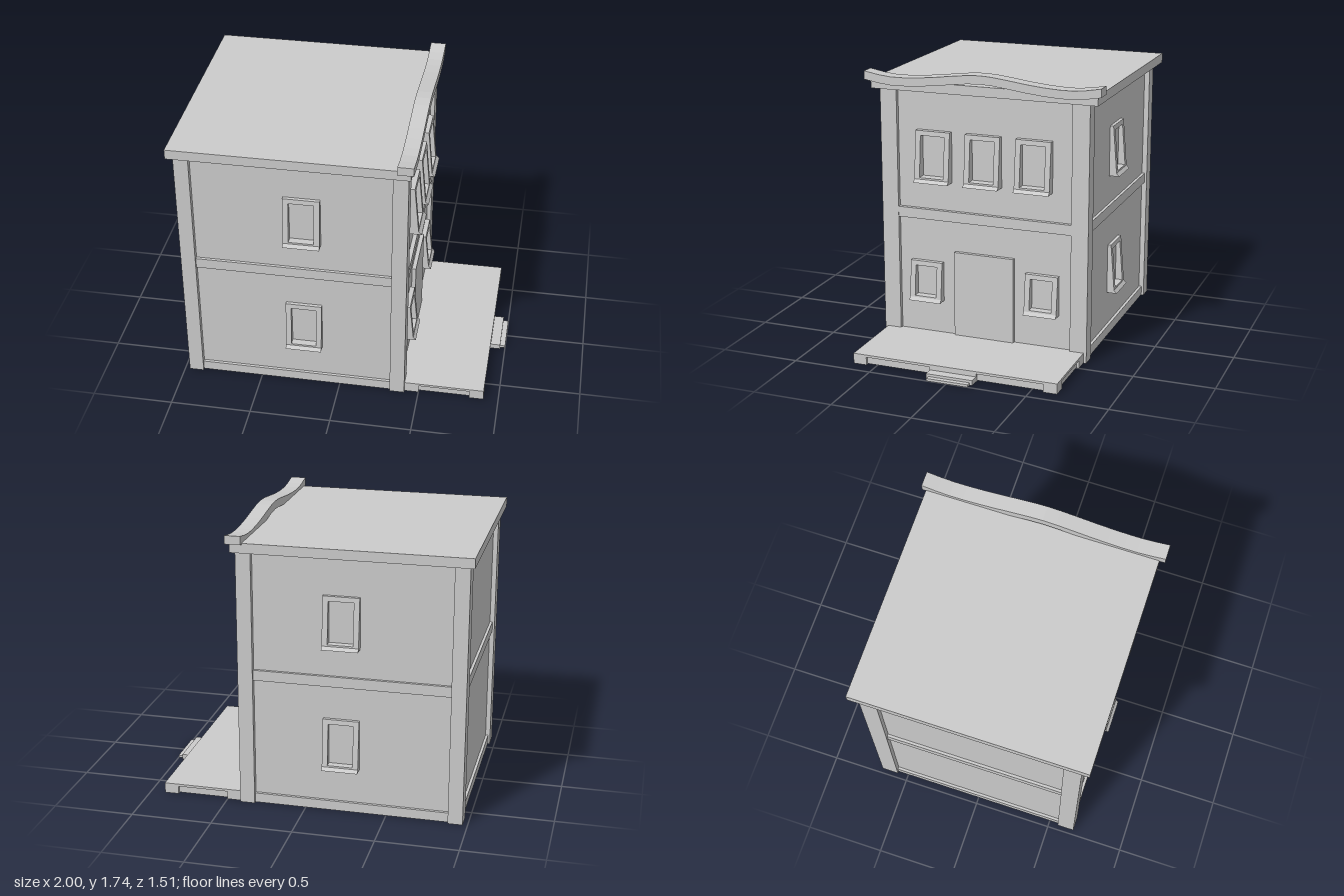
import * as THREE from 'three';

const material = new THREE.MeshStandardMaterial({ color: 0xcccccc, flatShading: true });

function add(parent, name, geometry) {
  const mesh = new THREE.Mesh(geometry, material);
  mesh.name = name;
  parent.add(mesh);
  return mesh;
}

// Box given by its lower and upper limits
function box(parent, name, x0, x1, y0, y1, z0, z1) {
  const mesh = add(parent, name, new THREE.BoxGeometry(x1 - x0, y1 - y0, z1 - z0));
  mesh.position.set((x0 + x1) / 2, (y0 + y1) / 2, (z0 + z1) / 2);
  return mesh;
}

// Window surround leaning out toward a flared sill; local +z points out of the wall
function makeWindow(w, h, depth) {
  const group = new THREE.Group();
  group.name = 'window';
  const top = depth * 0.42, low = depth * 0.76, sillH = 0.02, rim = 0.034;
  const shape = new THREE.Shape([
    new THREE.Vector2(-w / 2, sillH), new THREE.Vector2(w / 2, sillH),
    new THREE.Vector2(w / 2, h), new THREE.Vector2(-w / 2, h),
  ]);
  shape.holes.push(new THREE.Path([
    new THREE.Vector2(-w / 2 + rim, 0.03), new THREE.Vector2(-w / 2 + rim, h - 0.03),
    new THREE.Vector2(w / 2 - rim, h - 0.03), new THREE.Vector2(w / 2 - rim, 0.03),
  ]));
  const frame = new THREE.ExtrudeGeometry(shape, { depth: 1, bevelEnabled: false });
  const pos = frame.attributes.position;
  for (let i = 0; i < pos.count; i++) {
    const t = (pos.getY(i) - sillH) / (h - sillH);
    pos.setZ(i, pos.getZ(i) > 0.5 ? THREE.MathUtils.lerp(low, top, t) : -0.02);
  }
  frame.computeVertexNormals();
  add(group, 'windowFrame', frame);

  // Sill profile drawn as (out, up) and extruded across the width
  const profile = new THREE.Shape([
    new THREE.Vector2(-0.02, 0), new THREE.Vector2(depth, 0),
    new THREE.Vector2(low, sillH), new THREE.Vector2(-0.02, sillH),
  ]);
  const sill = new THREE.ExtrudeGeometry(profile, { depth: w, bevelEnabled: false });
  sill.rotateY(-Math.PI / 2);
  sill.translate(w / 2, 0, 0);
  add(group, 'windowSill', sill);
  return group;
}

export function createModel() {
  const model = new THREE.Group();
  model.name = 'townhouse';
  const house = new THREE.Group();
  house.name = 'house';
  house.position.z = -0.005;
  model.add(house);

  // Recessed walls, corner posts and roof slab
  box(house, 'walls', -0.94, 0.385, 0.003, 1.62, -0.64, 0.64);
  for (const s of [-1, 1]) {
    for (const [x0, x1] of [[-0.97, -0.88], [0.32, 0.412]]) {
      box(house, 'cornerPost', x0, x1, 0, 1.612, Math.min(s * 0.565, s * 0.673), Math.max(s * 0.565, s * 0.673));
    }
  }
  box(house, 'roof', -1, 0.43, 1.612, 1.672, -0.725, 0.725);

  // Floor band and plinth: flush with the posts on the entrance face, shallower elsewhere
  for (const [name, y0, y1] of [['floorBand', 0.805, 0.87], ['plinth', 0.002, 0.062]]) {
    box(house, name, -0.957, 0.36, y0, y1, -0.658, 0.658);
    box(house, name + 'Front', 0.35, 0.411, y0, y1, -0.57, 0.57);
  }

  // Entrance door
  box(house, 'door', 0.37, 0.41, 0.06, 0.61, -0.195, 0.195);

  // Windows on the entrance face
  const frontWindows = [
    [-0.325, 1.05, 0.225, 0.32, 0.082], [0, 1.05, 0.225, 0.32, 0.082], [0.325, 1.05, 0.225, 0.32, 0.082],
    [-0.38, 0.275, 0.21, 0.255, 0.07], [0.38, 0.275, 0.21, 0.255, 0.07],
  ];
  for (const [z, y, w, h, depth] of frontWindows) {
    const win = makeWindow(w, h, depth);
    win.rotation.y = Math.PI / 2;
    win.position.set(0.385, y, z);
    house.add(win);
  }

  // Windows on both side walls
  for (const s of [-1, 1]) {
    for (const y of [0.278, 1.05]) {
      const win = makeWindow(0.222, 0.32, 0.075);
      win.rotation.y = s > 0 ? 0 : Math.PI;
      win.position.set(-0.22, y, s * 0.63);
      house.add(win);
    }
  }

  // Wavy parapet: cross-section in (z, y), extruded along x
  const half = [[0, 1.743], [0.08, 1.739], [0.18, 1.727], [0.3, 1.711], [0.4, 1.701], [0.5, 1.695], [0.58, 1.695], [0.66, 1.703], [0.755, 1.72]];
  const upper = [...half.slice(1).reverse().map(([z, y]) => [-z, y]), ...half];
  const lower = upper.map(([z, y]) => [z, y - 0.052]).reverse();
  const outline = new THREE.Shape([...lower, ...upper].map(([z, y]) => new THREE.Vector2(z, y)));
  const parapet = new THREE.ExtrudeGeometry(outline, { depth: 0.095, bevelEnabled: false });
  parapet.rotateY(-Math.PI / 2);
  parapet.translate(0.45, 0, 0);
  add(model, 'parapet', parapet);

  // Porch deck on inset skirting with corner blocks
  box(house, 'porchDeck', 0.4, 0.908, 0.05, 0.065, -0.655, 0.655);
  box(house, 'porchSkirting', 0.4, 0.893, 0.004, 0.052, -0.64, 0.64);
  for (const s of [-1, 1]) {
    for (const [x0, x1] of [[0.41, 0.5], [0.82, 0.908]]) {
      box(house, 'porchBlock', x0, x1, 0, 0.051, s > 0 ? 0.57 : -0.655, s > 0 ? 0.655 : -0.57);
    }
  }
  box(house, 'porchStepBlock', 0.82, 0.908, 0, 0.051, -0.15, 0.15);

  // Steps
  box(house, 'upperStep', 0.9, 0.968, 0, 0.032, -0.148, 0.148);
  box(house, 'lowerStep', 0.95, 1, 0, 0.016, -0.132, 0.132);
  return model;
}
